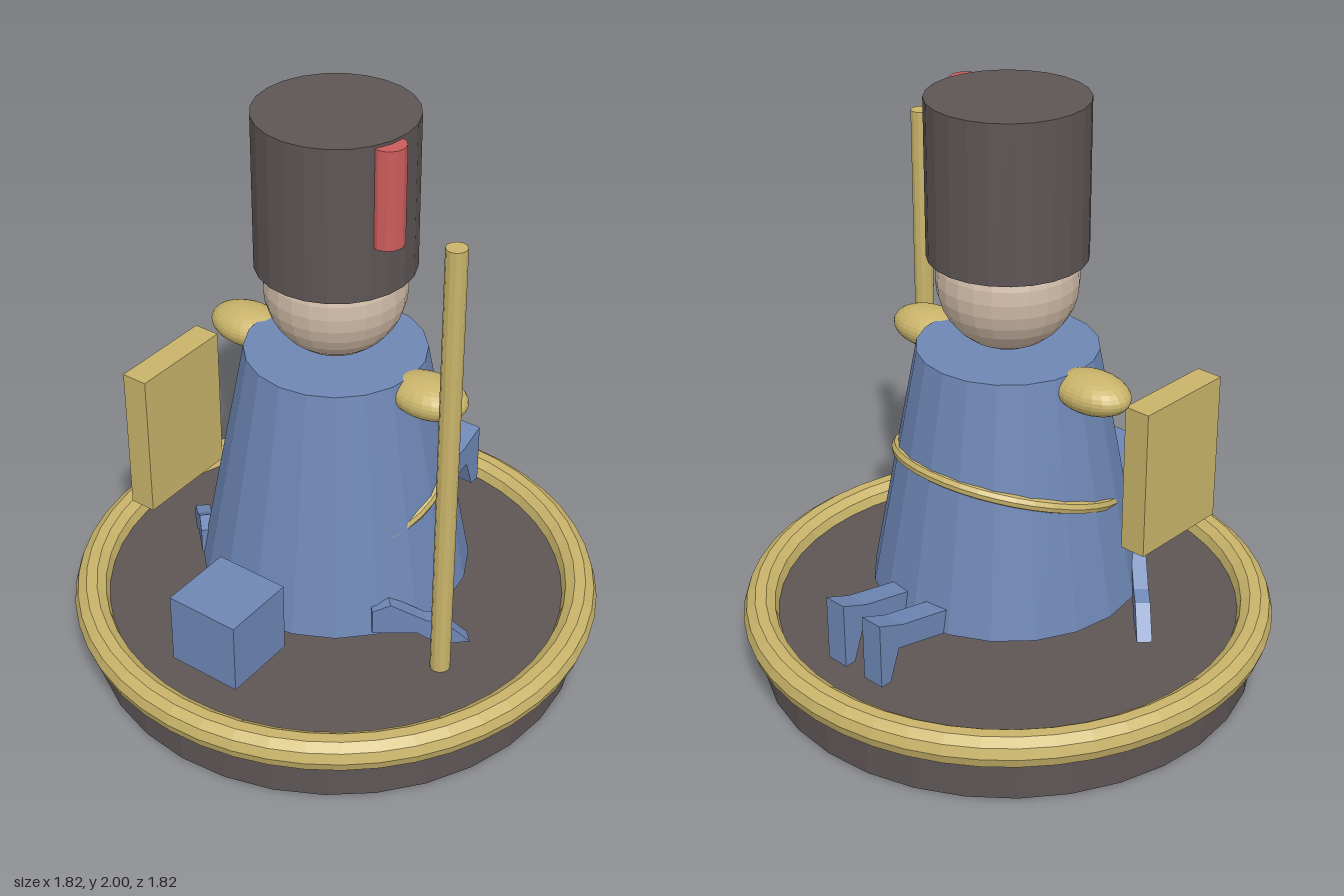
import * as THREE from 'three';

const mat = (name, color) => {
  const m = new THREE.MeshStandardMaterial({ color });
  m.name = name;
  return m;
};

export function createModel() {
  const group = new THREE.Group();
  const gold = mat('gold', 0xc9b46a);
  const blue = mat('blue', 0x6e87b5);
  const dark = mat('dark', 0x5e5555);
  const skin = mat('skin', 0xd0bba7);
  const red = mat('red', 0xcc5c5c);

  // Adds a faceted mesh
  const add = (name, geometry, material, x = 0, y = 0, z = 0) => {
    const g = geometry.index ? geometry.toNonIndexed() : geometry;
    g.computeVertexNormals();
    const mesh = new THREE.Mesh(g, material);
    mesh.name = name;
    mesh.position.set(x, y, z);
    group.add(mesh);
    return mesh;
  };
  const cylinder = (name, material, rTop, rBottom, y0, y1, sides, x = 0, z = 0) =>
    add(name, new THREE.CylinderGeometry(rTop, rBottom, y1 - y0, sides), material, x, (y0 + y1) / 2, z);
  const box = (name, material, x0, x1, y0, y1, z0, z1) =>
    add(name, new THREE.BoxGeometry(x1 - x0, y1 - y0, z1 - z0), material,
      (x0 + x1) / 2, (y0 + y1) / 2, (z0 + z1) / 2);

  // Leg: a profile of distance outward and height, given a width
  const leg = (name, profile, width, angle, x, z) => {
    const shape = new THREE.Shape(profile.map(([s, y]) => new THREE.Vector2(s, y)));
    const g = new THREE.ExtrudeGeometry(shape, { depth: width, bevelEnabled: false });
    g.translate(0, 0, -width / 2).rotateY(angle);
    add(name, g, blue, x, 0, z);
  };

  // Round base with a gold rim
  cylinder('base', dark, 0.85, 0.85, 0, 0.195, 32);
  add('baseRim', new THREE.TorusGeometry(0.85, 0.06, 10, 48).rotateX(Math.PI / 2), gold, 0, 0.195, 0);

  // Coat, head and tall hat
  cylinder('coat', blue, 0.3, 0.46, 0.318, 1.165, 20);
  add('head', new THREE.SphereGeometry(0.232, 24, 16), skin, 0, 1.4, 0);
  cylinder('hat', dark, 0.26, 0.26, 1.48, 2, 24);
  cylinder('plume', red, 0.055, 0.055, 1.66, 1.99, 12, 0.243, 0.07);

  // Tilted sash, sinking into the coat at the front
  add('sash', new THREE.TorusGeometry(0.375, 0.022, 8, 40).rotateX(Math.PI / 2 + 0.32), gold, 0, 0.705, 0);

  // Staff and flat case at the sides
  cylinder('staff', gold, 0.034, 0.034, 0.19, 1.79, 12, 0.547, 0.163);
  box('case', gold, -0.54, -0.448, 0.555, 1.07, 0.06, 0.43);

  // Small animal under the coat: body, neck and square head
  box('animalBody', blue, -0.11, 0.11, 0.303, 0.45, -0.36, 0.25);
  box('animalNeck', blue, -0.04, 0.04, 0.33, 0.44, 0.2, 0.48);
  box('animalHead', blue, -0.13, 0.13, 0.275, 0.53, 0.462, 0.72);

  const backProfile = [[-0.1, 0.31], [0.07, 0.3], [0.34, 0.36], [0.38, 0.25],
    [0.42, 0.25], [0.42, 0.48], [0.32, 0.44], [0.13, 0.4], [-0.1, 0.38]];
  const frontProfile = [[-0.06, 0.33], [0.09, 0.31], [0.17, 0.25], [0.27, 0.25],
    [0.18, 0.345], [0.12, 0.36], [0, 0.44], [-0.06, 0.42]];

  for (const side of [1, -1]) {
    const label = side > 0 ? 'left' : 'right';
    // Ellipsoid epaulettes
    add(label + 'Epaulette', new THREE.SphereGeometry(1, 24, 16).scale(0.14, 0.065, 0.097),
      gold, side * 0.36, 1.115, 0);
    leg(label + 'BackLeg', backProfile, 0.08, Math.PI / 2, side * 0.083, -0.3);
    leg(label + 'FrontLeg', frontProfile, 0.05, side > 0 ? Math.PI / 4 : Math.PI * 0.75, side * 0.385, 0.23);
  }
  return group;
}
